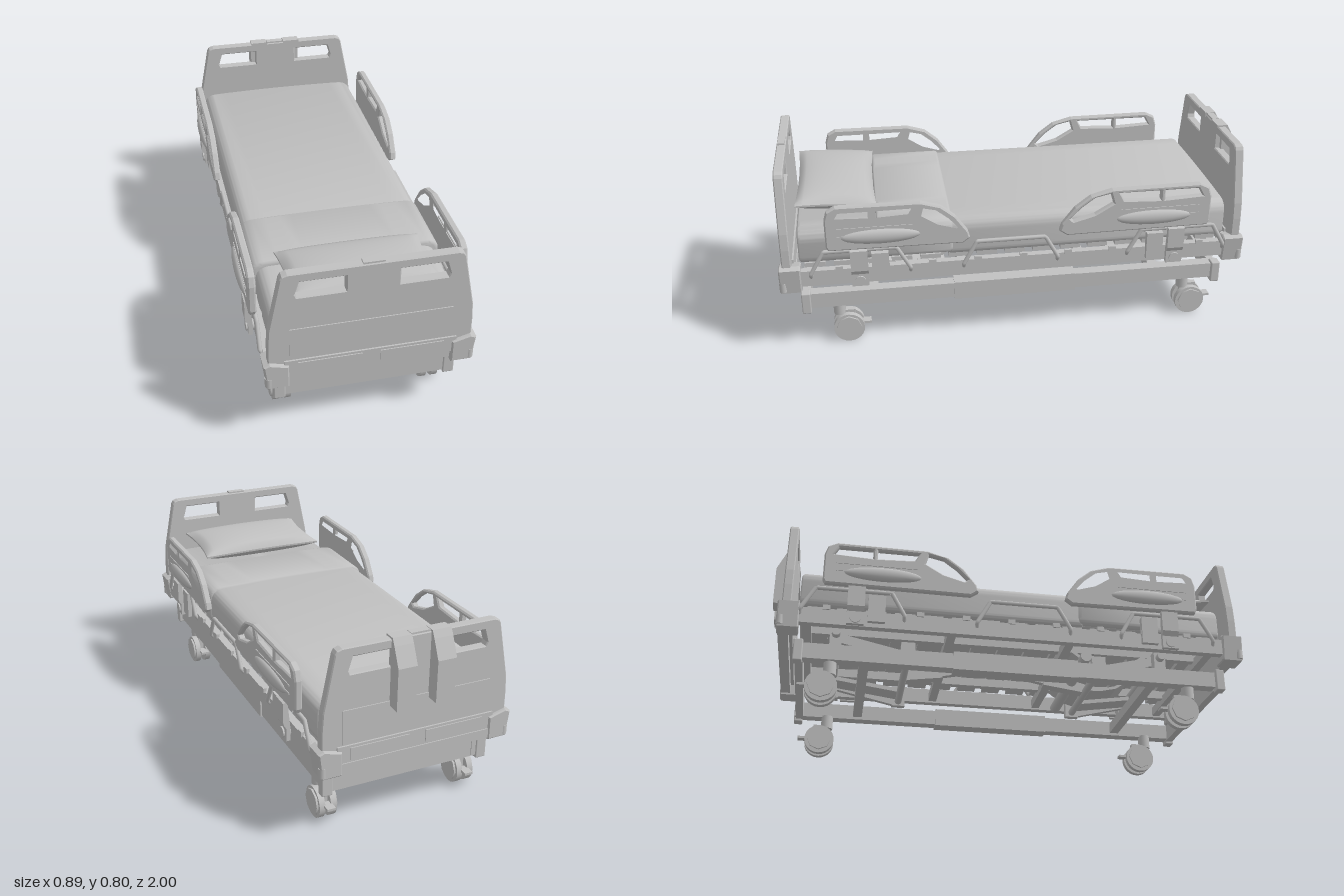
import * as THREE from 'three';
import { RoundedBoxGeometry } from 'three/addons/geometries/RoundedBoxGeometry.js';
import { toCreasedNormals } from 'three/addons/utils/BufferGeometryUtils.js';

export function createModel() {
  const model = new THREE.Group();
  model.name = 'hospitalBed';
  const grey = new THREE.MeshStandardMaterial({ color: 0xc0c0c0 });
  grey.name = 'plain grey';

  const add = (name, geo, x = 0, y = 0, z = 0) => {
    const m = new THREE.Mesh(geo, grey);
    m.name = name;
    m.position.set(x, y, z);
    model.add(m);
    return m;
  };
  // Box given by its limits on each axis
  const box = (name, x0, x1, y0, y1, z0, z1, r = 0) => {
    const d = [Math.abs(x1 - x0), y1 - y0, Math.abs(z1 - z0)];
    const g = r ? new RoundedBoxGeometry(...d, 2, r) : new THREE.BoxGeometry(...d);
    return add(name, g, (x0 + x1) / 2, (y0 + y1) / 2, (z0 + z1) / 2);
  };
  // Flat outline with holes, centred in depth; axis x maps outline to (z, y)
  const plate = (pts, holes, depth, axis, bevel = 0) => {
    const v = (l) => l.map((p) => new THREE.Vector2(p[0], p[1]));
    const shape = new THREE.Shape(v(pts));
    holes.forEach((h) => shape.holes.push(new THREE.Path(v(h))));
    const g = new THREE.ExtrudeGeometry(shape, {
      depth: depth - 2 * bevel, bevelEnabled: bevel > 0, bevelSize: bevel,
      bevelThickness: bevel, bevelOffset: -bevel, bevelSegments: 1,
    });
    g.translate(0, 0, -depth / 2 + bevel);
    if (axis === 'x') g.rotateY(-Math.PI / 2);
    return g;
  };
  const rodX = (name, r, len, x, y, z, n = 20) =>
    add(name, new THREE.CylinderGeometry(r, r, len, n).rotateZ(Math.PI / 2), x, y, z);
  // Square bar in a plane of constant x between two (z, y) points
  const bar = (name, x, w, h, [z0, y0], [z1, y1]) => {
    const m = add(name, new THREE.BoxGeometry(w, h, Math.hypot(z1 - z0, y1 - y0)), x, (y0 + y1) / 2, (z0 + z1) / 2);
    m.rotation.x = -Math.atan2(y1 - y0, z1 - z0);
  };
  const mirror = (pts) => [...pts, ...pts.map(([x, y]) => [-x, y]).reverse()];

  // Head and foot boards
  const boardOutline = mirror([[0.39, 0.34], [0.39, 0.48], [0.385, 0.55], [0.34, 0.775], [0.332, 0.788], [0.313, 0.795]]);
  const grip = [[0.1, 0.69], [0.28, 0.69], [0.286, 0.705], [0.27, 0.757], [0.1, 0.757]];
  const gripHoles = [grip, grip.map(([x, y]) => [-x, y])];
  const endBoard = (name, z, d) => {
    add(name, plate(boardOutline, gripHoles, 0.038, 'z', 0.004), 0, 0, z);
    const face = z + d * 0.019;
    box(name + 'Panel', -0.31, 0.31, 0.41, 0.55, face - d * 0.002, face + d * 0.004);
    box(name + 'LowerBand', -0.33, 0.33, 0.335, 0.405, z - 0.026, z + 0.026);
    box(name + 'LowerBar', -0.33, 0.33, 0.295, 0.335, z - 0.03, z + 0.012);
    for (const s of [-1, 1]) {
      box(name + 'Inset', s * 0.035, s * 0.28, 0.345, 0.395, z + d * 0.024, z + d * 0.03);
      const corner = [[0.313, 0.287], [0.395, 0.287], [0.408, 0.395], [0.385, 0.405], [0.313, 0.385]];
      add(name + 'Corner', plate(corner.map(([x, y]) => [s * x, y]), [], 0.088, 'z', 0.005), 0, 0, z - d * 0.01);
      add(name + 'Bumper', new THREE.CylinderGeometry(0.016, 0.016, 0.04, 16), s * 0.388, 0.315, z + d * 0.02);
    }
    box(name + 'TopTab', -0.04, 0.04, 0.79, 0.802, z - 0.015, z + 0.015);
  };
  endBoard('headboard', 0.965, 1);
  endBoard('footboard', -0.925, -1);

  // Hooked hangers on the outside of the footboard
  for (const s of [-1, 1]) {
    const hook = [[-0.93, 0.53], [-1, 0.53], [-1, 0.7], [-0.965, 0.775], [-0.95, 0.802], [-0.905, 0.802], [-0.905, 0.78], [-0.93, 0.78]];
    add('footboardHanger', plate(hook, [], 0.078, 'x'), s * 0.081, 0, 0);
  }

  // Mattress and bedding: rounded sections run along z
  const bedding = (name, w, y0, y1, z0, z1, crown) => {
    const s = new THREE.Shape();
    const r = 0.055, h = w - r;
    s.moveTo(-w + 0.03, y0);
    s.lineTo(w - 0.03, y0);
    s.quadraticCurveTo(w, y0, w, y0 + 0.03);
    s.lineTo(w, y1 - r);
    s.quadraticCurveTo(w, y1 - 0.005, h, y1);
    s.quadraticCurveTo(0, y1 + crown * 2, -h, y1);
    s.quadraticCurveTo(-w, y1 - 0.005, -w, y1 - r);
    s.lineTo(-w, y0 + 0.03);
    s.quadraticCurveTo(-w, y0, -w + 0.03, y0);
    const b = 0.015;
    const g = new THREE.ExtrudeGeometry(s, {
      depth: z1 - z0 - 2 * b, curveSegments: 12, bevelSize: b, bevelOffset: -b, bevelThickness: b, bevelSegments: 3,
    });
    add(name, toCreasedNormals(g, 0.8), 0, 0, z0 + b);
  };
  bedding('mattress', 0.365, 0.4, 0.548, -0.865, 0.915, 0.002);
  bedding('blanket', 0.376, 0.4, 0.562, -0.875, 0.31, 0.005);
  bedding('foldedSheet', 0.384, 0.41, 0.569, 0.285, 0.595, 0.005);

  // Pillow: a box puffed in the middle and thin at the seam
  const pg = new THREE.BoxGeometry(2, 2, 2, 28, 1, 20);
  const pp = pg.attributes.position;
  for (let i = 0; i < pp.count; i++) {
    const u = pp.getX(i), v = pp.getZ(i);
    const puff = Math.pow(Math.max(0, (1 - u * u) * (1 - v * v)), 0.42);
    pp.setXYZ(i, u * 0.29 * (1 - 0.05 * (1 - v * v)), pp.getY(i) * (0.004 + 0.046 * puff), v * 0.165 * (1 - 0.06 * (1 - u * u)));
  }
  pg.computeVertexNormals();
  add('pillow', pg, 0, 0.614, 0.752).rotation.x = -0.06;

  // Side rails: t runs from the upright end (0) to the sloped end (1)
  const railOutline = [[0, 0.5], [0.015, 0.482], [0.95, 0.478], [1, 0.5], [0.985, 0.53], [0.9, 0.6], [0.8, 0.648], [0.66, 0.672], [0.08, 0.674], [0.02, 0.655], [0, 0.615]];
  const railHoles = [
    [[0.06, 0.62], [0.31, 0.613], [0.31, 0.654], [0.09, 0.654]],
    [[0.34, 0.613], [0.58, 0.62], [0.61, 0.654], [0.34, 0.654]],
    [[0.65, 0.61], [0.77, 0.565], [0.91, 0.54], [0.93, 0.552], [0.86, 0.598], [0.77, 0.64], [0.67, 0.654]],
  ];
  const rail = (name, s, z0, z1) => {
    const map = (l) => l.map(([t, y]) => [z0 + t * (z1 - z0), y]);
    const zt = (t) => z0 + t * (z1 - z0);
    add(name, plate(map(railOutline), railHoles.map(map), 0.03, 'x', 0.006), s * 0.411, 0, 0);
    const swell = new THREE.SphereGeometry(1, 24, 12).scale(0.022, 0.032, 0.16);
    add(name + 'Swell', swell, s * 0.424, 0.537, zt(0.38));
    for (const y of [0.54, 0.575]) box(name + 'Rib', s * 0.424, s * 0.429, y, y + 0.006, zt(0.08), zt(0.6));
    // Folding support under the rail
    const zc = zt(0.22);
    const arm = [[0.4, 0.31], [0.4, 0.36], [0.412, 0.48], [0.43, 0.475], [0.43, 0.385], [0.418, 0.365], [0.418, 0.31]];
    add(name + 'Arm', plate(arm.map(([x, y]) => [s * x, y]), [], 0.07, 'z'), 0, 0, zc);
    const inner = zc - Math.sign(z0) * 0.085;
    box(name + 'Latch', s * 0.385, s * 0.41, 0.33, 0.45, inner - 0.035, inner + 0.035);
    rodX(name + 'Pivot', 0.022, 0.05, s * 0.4, 0.335, zc);
  };

  // Bent side tube standing on the frame
  const sideTube = (s, z0, z1) => {
    const d = 0.055;
    const path = new THREE.CurvePath();
    const p = [[0.385, 0.35, z0], [0.4, 0.37, z0], [0.4, 0.468, z0 + d], [0.4, 0.468, z1 - d], [0.4, 0.37, z1], [0.385, 0.35, z1]]
      .map(([x, y, z]) => new THREE.Vector3(s * x, y, z));
    for (let i = 0; i < 5; i++) path.add(new THREE.LineCurve3(p[i], p[i + 1]));
    add('sideTube', new THREE.TubeGeometry(path, 60, 0.009, 8));
  };

  for (const s of [-1, 1]) {
    rail('headRail', s, 0.8, 0.22);
    rail('footRail', s, -0.79, -0.15);
    sideTube(s, 0.465, 0.87);
    sideTube(s, -0.15, 0.245);
    sideTube(s, -0.87, -0.45);

    // Upper frame
    box('frameSide', s * 0.36, s * 0.392, 0.312, 0.38, -0.9, 0.93);
    box('deckBeam', s * 0.2, s * 0.23, 0.345, 0.385, -0.86, 0.9);
    for (let i = 0; i < 9; i++) box('frameClip', s * 0.385, s * 0.398, 0.375, 0.395, -0.78 + i * 0.19, -0.75 + i * 0.19);

    // Base frame
    box('baseSide', s * 0.295, s * 0.345, 0.178, 0.245, -0.88, 0.91);
    box('baseSleeve', s * 0.288, s * 0.352, 0.172, 0.251, -0.24, 0.283);
    for (const z of [0.903, -0.866]) box('basePost', s * 0.315, s * 0.36, 0.16, 0.255, z - 0.019, z + 0.019, 0.005);

    // Lift arms and curved trays
    for (const [za, zb] of [[0.66, 0.4], [-0.72, -0.42]]) {
      bar('liftArm', s * 0.25, 0.022, 0.04, [za, 0.32], [zb, 0.255]);
      bar('liftLink', s * 0.16, 0.09, 0.018, [za, 0.3], [zb, 0.26]);
      box('liftBracket', s * 0.235, s * 0.262, 0.235, 0.32, zb - 0.03, zb + 0.03);
      box('liftHanger', s * 0.26, s * 0.3, 0.265, 0.345, za - 0.025, za + 0.025);
    }
    const tray = [[0.62, 0.345], [0.56, 0.305], [0.49, 0.288], [0.41, 0.285], [0.35, 0.3], [0.29, 0.345],
      [0.3, 0.355], [0.355, 0.312], [0.41, 0.297], [0.49, 0.3], [0.555, 0.317], [0.61, 0.355]];
    add('curvedTray', plate(tray, [], 0.2, 'x'), s * 0.13, 0, 0);

    // Twin wheel casters
    for (const [zs, zw] of [[0.77, 0.735], [-0.735, -0.765]]) {
      const x = s * 0.307;
      add('casterStem', new THREE.CylinderGeometry(0.026, 0.026, 0.06, 16), x, 0.155, zs);
      box('casterFork', x - 0.012, x + 0.012, 0.055, 0.14, zw - 0.03, zw + 0.04);
      for (const t of [-1, 1]) {
        rodX('casterWheel', 0.065, 0.024, x + t * 0.024, 0.065, zw, 24);
        rodX('casterCover', 0.054, 0.014, x + t * 0.037, 0.068, zw, 8);
      }
      rodX('casterAxle', 0.012, 0.07, x, 0.065, zw);
      box('brakePedal', x - 0.018, x + 0.018, 0.07, 0.08, zw - 0.095, zw - 0.04);
    }
  }

  // Cross members
  for (const z of [0.9, -0.86]) box('baseEndBar', -0.315, 0.315, 0.172, 0.243, z - 0.016, z + 0.016);
  for (const z of [0.62, -0.6]) box('baseCrossBar', -0.3, 0.3, 0.19, 0.235, z - 0.02, z + 0.02);
  for (const z of [0.66, -0.72]) rodX('liftTube', 0.018, 0.66, 0, 0.315, z);
  for (const z of [0.4, -0.42]) rodX('lowerLiftTube', 0.016, 0.54, 0, 0.257, z);
  rodX('deckHingeTube', 0.024, 0.6, 0, 0.3, 0.335);
  for (const z of [0.86, 0.25, -0.25, -0.84]) box('frameCrossBar', -0.365, 0.365, 0.32, 0.36, z - 0.018, z + 0.018);

  // Slatted deck under the mattress
  for (let i = 0; i < 15; i++) {
    const z = -0.8 + i * 0.118;
    box('deckSlat', -0.36, 0.36, 0.383, 0.402, z - 0.042, z + 0.042);
  }

  // Lift actuators
  for (const [z0, z1] of [[0.4, 0.02], [-0.42, -0.08]]) {
    bar('actuatorBody', 0, 0.05, 0.05, [z0, 0.275], [(z0 + z1) / 2, 0.3]);
    bar('actuatorRod', 0, 0.025, 0.025, [(z0 + z1) / 2, 0.3], [z1, 0.335]);
  }
  return model;
}
